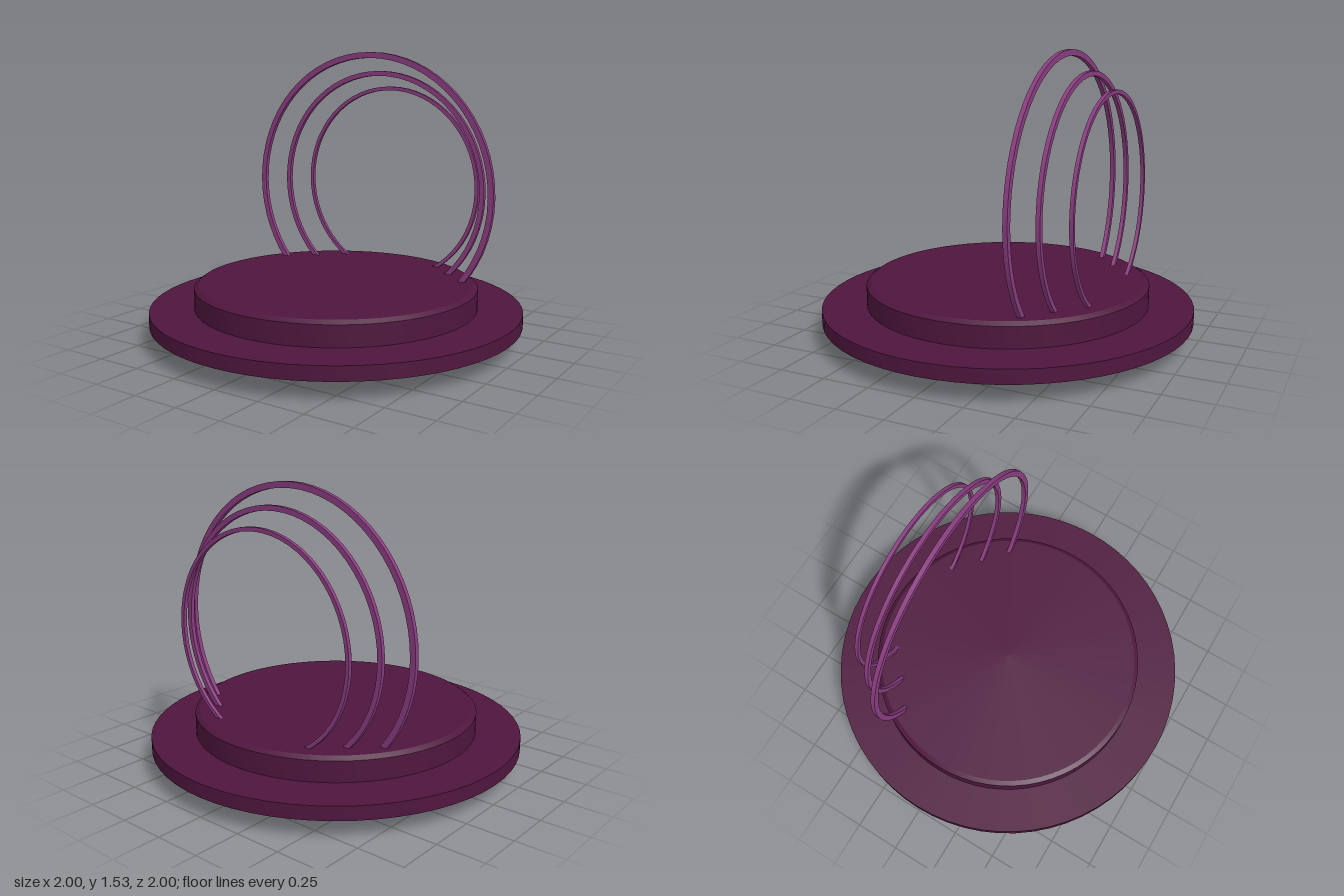
import * as THREE from 'three';
import { toCreasedNormals } from 'three/addons/utils/BufferGeometryUtils.js';

const SEGMENTS = 64;

// Revolves a profile (listed bottom to top along its outside) with sharp edges kept.
function turned(name, profile, material) {
  const points = profile.map(([r, y]) => new THREE.Vector2(r, y));
  const geometry = toCreasedNormals(new THREE.LatheGeometry(points, SEGMENTS), 0.4);
  const mesh = new THREE.Mesh(geometry, material);
  mesh.name = name;
  return mesh;
}

export function createModel() {
  const model = new THREE.Group();
  model.name = 'ringedPodium';
  const baseMaterial = new THREE.MeshStandardMaterial({ color: 0x4f163e });
  const ringMaterial = new THREE.MeshStandardMaterial({ color: 0x8a3c80 });

  // Wide lower disc
  model.add(turned('lowerDisc', [[0, 0.105], [1, 0.105], [1, 0.178], [0, 0.178]], baseMaterial));

  // Upper disc with a bevelled rim
  model.add(turned('upperDisc',
    [[0, 0.17], [0.763, 0.17], [0.763, 0.288], [0.738, 0.305], [0, 0.305]], baseMaterial));

  // Three upright hoops, shrinking towards the back: outer radius, band width, depth, z
  const hoops = [
    [0.763, 0.032, 0.024, -0.34],
    [0.658, 0.027, 0.022, -0.454],
    [0.567, 0.021, 0.02, -0.579],
  ];
  hoops.forEach(([outer, width, depth, z], i) => {
    const inner = outer - width;
    const h = depth / 2;
    const hoop = turned(`hoop${i + 1}`,
      [[inner, -h], [outer, -h], [outer, h], [inner, h], [inner, -h]], ringMaterial);
    hoop.rotation.x = Math.PI / 2;
    hoop.position.set(0, 0.767, z);
    model.add(hoop);
  });

  return model;
}
